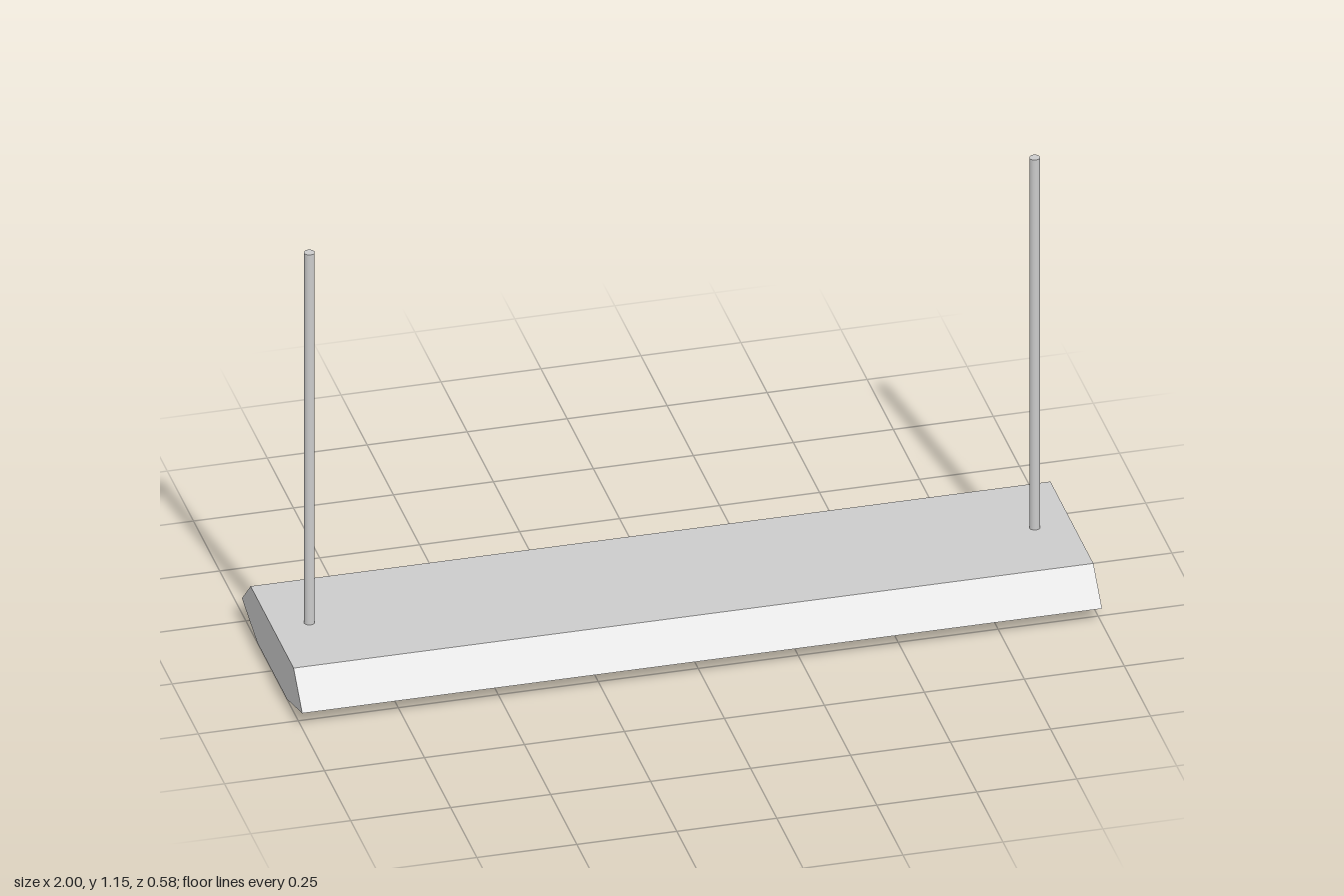
import * as THREE from 'three';

const material = new THREE.MeshStandardMaterial({ color: 0xcccccc, flatShading: true });
const smooth = new THREE.MeshStandardMaterial({ color: 0xcccccc });

const CAP = 0.025; // end cap thickness
const HALF = 1;    // half length of the fixture

// Extrudes a closed (z, y) outline along x, starting at x0
function extrudeAlongX(name, outline, x0, length) {
  const shape = new THREE.Shape(outline.map(([z, y]) => new THREE.Vector2(-z, y)));
  const geometry = new THREE.ExtrudeGeometry(shape, { depth: length, bevelEnabled: false });
  geometry.rotateY(Math.PI / 2).translate(x0, 0, 0);
  const mesh = new THREE.Mesh(geometry, material);
  mesh.name = name;
  return mesh;
}

// Appends the mirror image of a half outline
const mirrored = (half) => [...half, ...half.map(([z, y]) => [-z, y]).reverse()];

export function createModel() {
  const lamp = new THREE.Group();
  lamp.name = 'hangingTubeLamp';

  // Sheet housing: open below, with a lip folded inwards along each long edge
  const housing = mirrored([
    [0.205, 0.122], [0.288, 0.042], [0.212, 0.021], [0.209, 0.032],
    [0.264, 0.048], [0.199, 0.11],
  ].reverse()).reverse();
  lamp.add(extrudeAlongX('housing', housing, -HALF + CAP, 2 * (HALF - CAP)));

  // Six-sided end caps
  const cap = mirrored([[0.205, 0.122], [0.288, 0.042], [0.142, 0]]);
  lamp.add(extrudeAlongX('endCapLeft', cap, HALF - CAP, CAP));
  lamp.add(extrudeAlongX('endCapRight', cap, -HALF, CAP));

  // Four light tubes running between the caps
  const tube = new THREE.CylinderGeometry(0.025, 0.025, 2 * (HALF - CAP), 16);
  tube.rotateZ(Math.PI / 2);
  for (let i = 0; i < 4; i++) {
    const mesh = new THREE.Mesh(tube, smooth);
    mesh.name = 'lightTube';
    mesh.position.set(0, 0.06, -0.15 + i * 0.1);
    lamp.add(mesh);
  }

  // Suspension rods
  const rod = new THREE.CylinderGeometry(0.0135, 0.0135, 1.035, 12);
  for (const side of [-1, 1]) {
    const mesh = new THREE.Mesh(rod, smooth);
    mesh.name = side > 0 ? 'rodLeft' : 'rodRight';
    mesh.position.set(side * 0.907, 0.12 + 1.035 / 2, 0);
    lamp.add(mesh);
  }
  return lamp;
}
